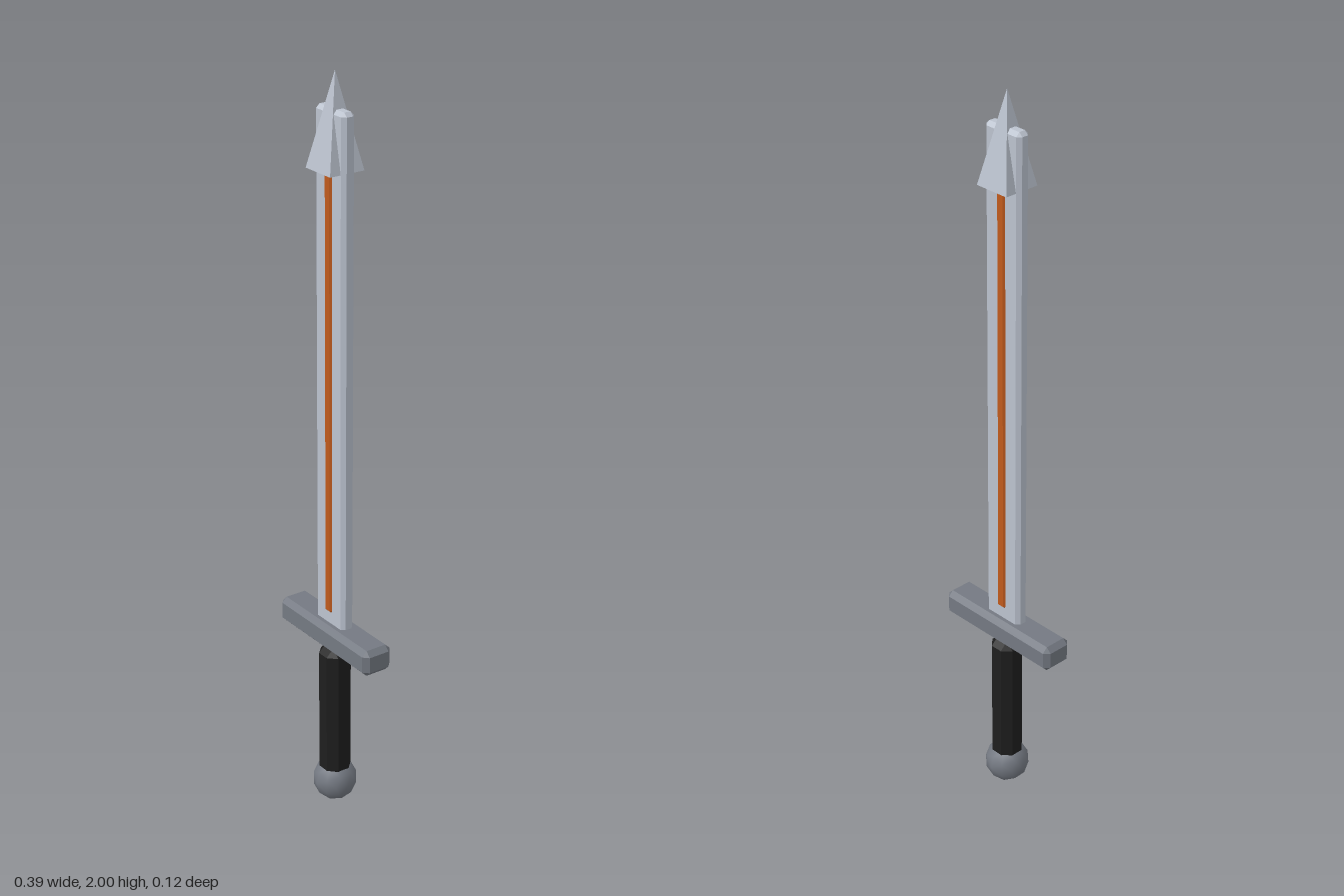
import * as THREE from 'three';
import { ConvexGeometry } from 'three/addons/geometries/ConvexGeometry.js';

function material(name, color) {
  const m = new THREE.MeshStandardMaterial({ color });
  m.name = name;
  return m;
}

// Box with every edge cut by a flat chamfer c, centred on the origin
function chamferBox(w, h, d, c) {
  const [x, y, z] = [w / 2, h / 2, d / 2];
  const points = [];
  for (const i of [-1, 1]) for (const j of [-1, 1]) for (const k of [-1, 1]) {
    points.push(
      new THREE.Vector3(i * x, j * (y - c), k * (z - c)),
      new THREE.Vector3(i * (x - c), j * y, k * (z - c)),
      new THREE.Vector3(i * (x - c), j * (y - c), k * z)
    );
  }
  return new ConvexGeometry(points);
}

export function createModel() {
  const steel = material('blade steel', 0xbcc3cf);
  const iron = material('dark iron', 0x747982);
  const leather = material('black leather', 0x1e1e1e);
  const copper = material('copper inlay', 0xc05a1c);

  const sword = new THREE.Group();
  sword.name = 'sword';
  function add(name, geometry, mat, y) {
    const mesh = new THREE.Mesh(geometry, mat);
    mesh.name = name;
    mesh.position.y = y;
    sword.add(mesh);
  }

  // Handle: smooth round pommel, eight-sided grip and chamfered crossguard
  add('pommel', new THREE.IcosahedronGeometry(0.06, 1), iron, 0.06);
  add('grip', chamferBox(0.078, 0.39, 0.078, 0.022), leather, 0.275);
  add('crossguard', chamferBox(0.386, 0.072, 0.087, 0.014), iron, 0.505);

  // Blade with an inlay bar that shows on both faces
  add('blade', chamferBox(0.12, 1.38, 0.038, 0.01), steel, 1.22);
  add('inlay', chamferBox(0.034, 1.23, 0.047, 0.008), copper, 1.185);

  // Four-sided point, its flat sides square to the blade
  const tip = new THREE.ConeGeometry(0.05 * Math.SQRT2, 0.24, 4).toNonIndexed();
  tip.rotateY(Math.PI / 4);
  tip.computeVertexNormals();
  add('tip', tip, steel, 1.88);

  return sword;
}
